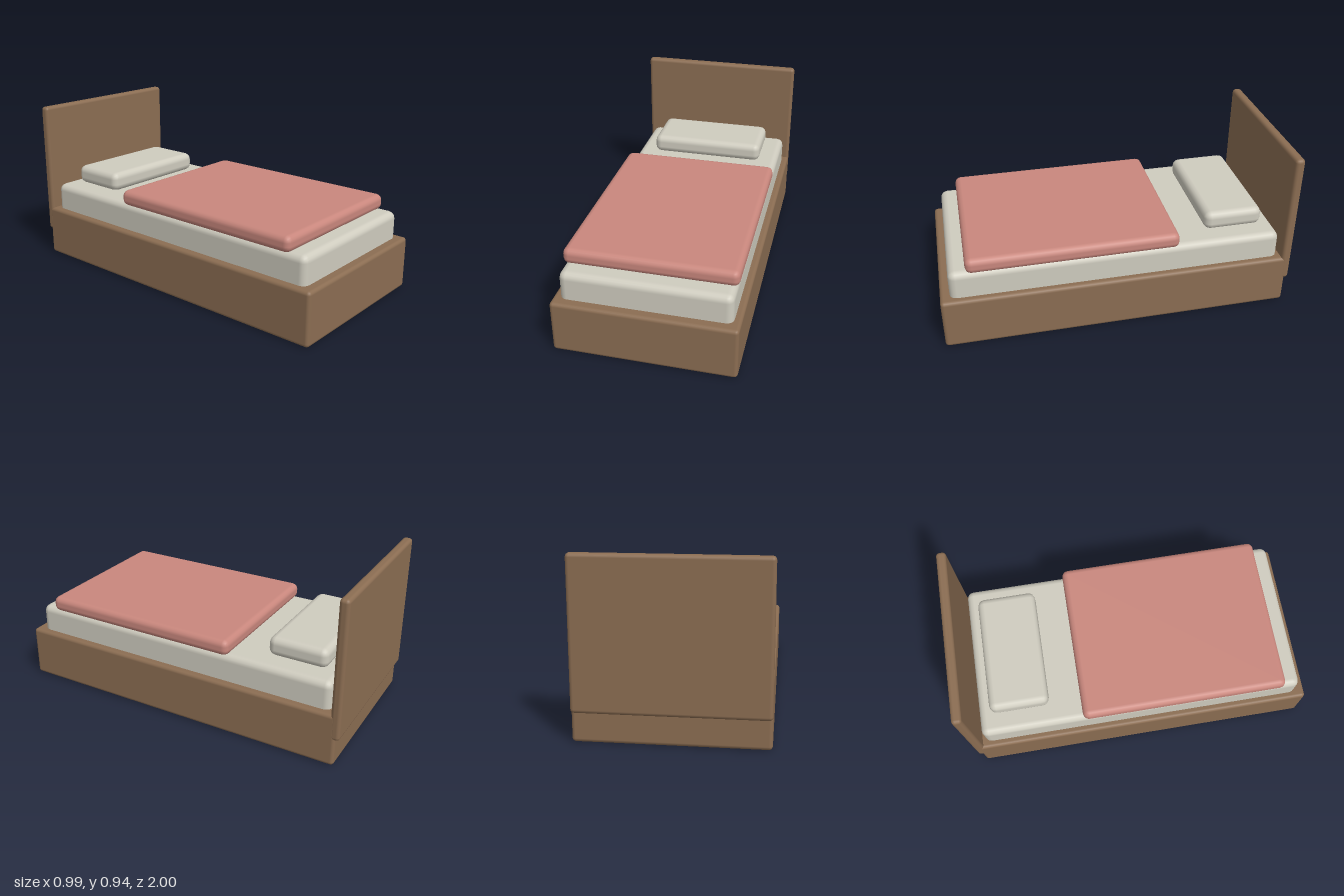
import * as THREE from 'three';
import { RoundedBoxGeometry } from 'three/addons/geometries/RoundedBoxGeometry.js';

const material = (name, color) => {
  const m = new THREE.MeshStandardMaterial({ color });
  m.name = name;
  return m;
};

export function createModel() {
  const bed = new THREE.Group();
  bed.name = 'bed';
  const wood = material('wood', 0x8b6d52);
  const linen = material('linen', 0xcfccbf);
  const rose = material('rose fabric', 0xc9877d);

  // Softly rounded block, centred on x, given by its extents
  const block = (name, mat, width, [y0, y1], [z0, z1], radius) => {
    const mesh = new THREE.Mesh(new RoundedBoxGeometry(width, y1 - y0, z1 - z0, 2, radius), mat);
    mesh.name = name;
    mesh.position.set(0, (y0 + y1) / 2, (z0 + z1) / 2);
    bed.add(mesh);
  };

  // Wooden frame
  block('base', wood, 0.986, [0, 0.3], [-0.978, 1], 0.02);
  block('headboard', wood, 0.986, [0.155, 0.942], [-1, -0.945], 0.02);

  // Bedding
  block('mattress', linen, 0.91, [0.22, 0.456], [-0.928, 0.946], 0.04);
  block('blanket', rose, 0.928, [0.445, 0.535], [-0.335, 0.85], 0.035);
  block('pillow', linen, 0.69, [0.455, 0.566], [-0.855, -0.515], 0.04);

  return bed;
}
